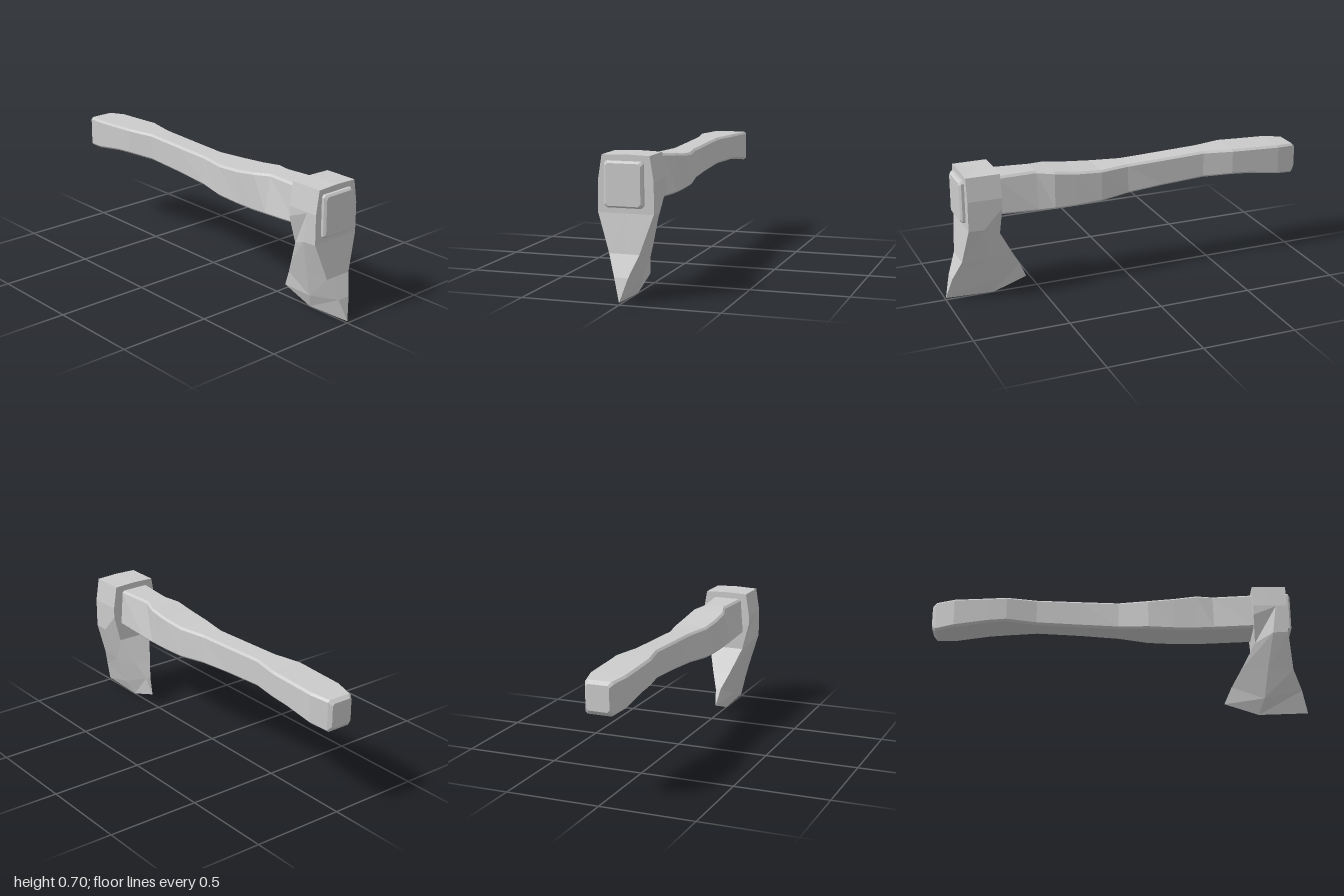
import * as THREE from 'three';

const material = new THREE.MeshStandardMaterial({
  color: 0xcccccc, roughness: 0.8, flatShading: true,
});

// Skin a list of equal-length point rings and close both ends with fans.
function loft(name, rings) {
  const positions = [];
  const tri = (a, b, c) => {
    const n = b.clone().sub(a).cross(c.clone().sub(a));
    if (n.length() < 1e-9) return; // skip collapsed faces along the edge
    for (const p of [a, b, c]) positions.push(p.x, p.y, p.z);
  };
  const count = rings[0].length;
  for (let i = 0; i < rings.length - 1; i++) {
    for (let j = 0; j < count; j++) {
      const k = (j + 1) % count;
      const a = rings[i][j], b = rings[i][k], c = rings[i + 1][k], d = rings[i + 1][j];
      tri(a, b, c);
      tri(a, c, d);
    }
  }
  const cap = (ring, flip) => {
    const mid = new THREE.Vector3();
    ring.forEach((p) => mid.addScaledVector(p, 1 / count));
    ring.forEach((p, j) => {
      const q = ring[(j + 1) % count];
      if (flip) tri(mid, q, p); else tri(mid, p, q);
    });
  };
  cap(rings[0], true);
  cap(rings[rings.length - 1], false);

  const geometry = new THREE.BufferGeometry();
  geometry.setAttribute('position', new THREE.Float32BufferAttribute(positions, 3));
  geometry.computeVertexNormals();
  const mesh = new THREE.Mesh(geometry, material);
  mesh.name = name;
  return mesh;
}

// Chamfered cross-section of the handle, counter-clockwise seen from +z.
function handleRing([z, bottom, top, bottomHalf, topHalf]) {
  const c = 0.011, x0 = -0.005;
  return [
    [bottomHalf - c, bottom], [bottomHalf, bottom + c],
    [topHalf, top - c], [topHalf - c, top],
    [c - topHalf, top], [-topHalf, top - c],
    [-bottomHalf, bottom + c], [c - bottomHalf, bottom],
  ].map(([x, y]) => new THREE.Vector3(x + x0, y, z));
}

// Head cross-section: front, middle and back corners of one cheek, mirrored.
function headRing(cheek, crown = 0) {
  const right = cheek.map((p) => new THREE.Vector3(...p));
  const left = right.map((p) => new THREE.Vector3(-p.x, p.y, p.z)).reverse();
  const centre = (p) => new THREE.Vector3(0, p.y + crown, p.z);
  return [...right, centre(right[2]), ...left, centre(right[0])];
}

export function createModel() {
  const group = new THREE.Group();
  group.name = 'axe';

  // Handle stations from butt to front: z, bottom, top, half width below and above
  const stations = [
    [-1.0, 0.472, 0.602, 0.06, 0.06],
    [-0.98, 0.45, 0.618, 0.074, 0.074],
    [-0.88, 0.463, 0.627, 0.097, 0.097],
    [-0.7, 0.49, 0.635, 0.097, 0.097],
    [-0.6, 0.498, 0.64, 0.097, 0.097],
    [-0.44, 0.493, 0.64, 0.064, 0.064],
    [-0.2, 0.48, 0.632, 0.064, 0.064],
    [0.0, 0.467, 0.626, 0.07, 0.064],
    [0.16, 0.456, 0.626, 0.098, 0.093],
    [0.3, 0.45, 0.637, 0.098, 0.098],
    [0.42, 0.45, 0.654, 0.098, 0.096],
    [0.51, 0.454, 0.663, 0.098, 0.067],
    [0.72, 0.465, 0.667, 0.098, 0.084],
    [0.8, 0.45, 0.67, 0.098, 0.098],
    [0.915, 0.448, 0.67, 0.098, 0.098],
    [0.925, 0.457, 0.66, 0.087, 0.087],
  ];
  group.add(loft('handle', stations.map(handleRing)));

  // Head from cutting edge up to the crown: front, middle, back of the cheek
  group.add(loft('axeHead', [
    headRing([[0, 0.01, 1], [0, 0, 0.74], [0, 0.06, 0.56]]),
    headRing([[0.035, 0.125, 0.97], [0.035, 0.08, 0.77], [0.015, 0.15, 0.6]]),
    headRing([[0.076, 0.23, 0.925], [0.081, 0.23, 0.79], [0.05, 0.235, 0.65]]),
    headRing([[0.14, 0.42, 0.9], [0.14, 0.415, 0.82], [0.1, 0.37, 0.725]]),
    headRing([[0.14, 0.57, 0.9], [0.14, 0.57, 0.84], [0.14, 0.52, 0.72]]),
    headRing([[0.14, 0.575, 0.9], [0.14, 0.575, 0.81], [0.14, 0.575, 0.72]]),
    headRing([[0.12, 0.697, 0.9], [0.12, 0.697, 0.81], [0.12, 0.697, 0.72]], 0.004),
  ]));

  return group;
}
